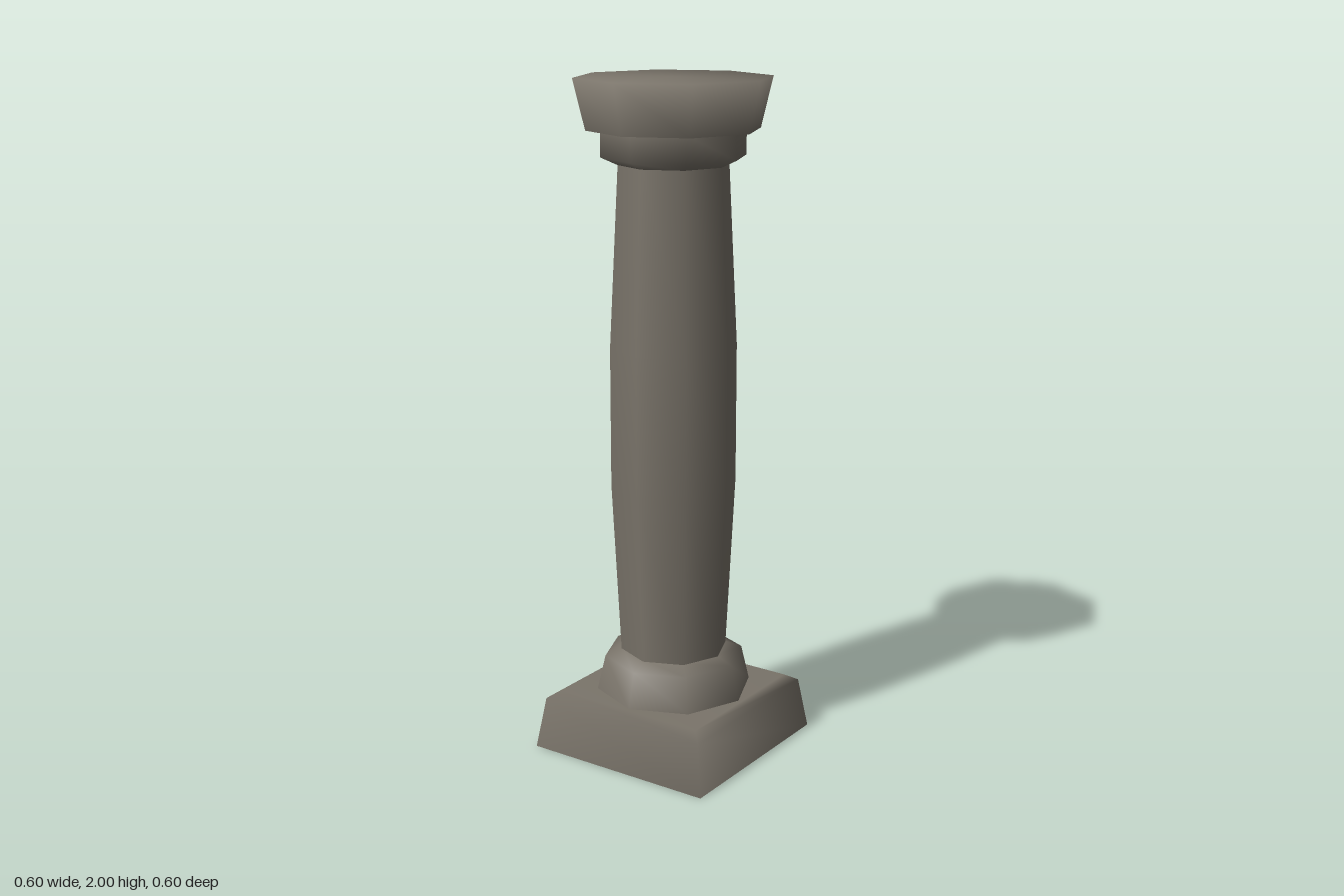
import * as THREE from 'three';

export function createModel() {
  const group = new THREE.Group();
  group.name = 'column';
  const stone = new THREE.MeshStandardMaterial({ color: 0x7a746a, side: THREE.DoubleSide });
  stone.name = 'stone';

  // Smooth low-poly turned part; profile is [radius, height] from bottom to top
  function turned(name, profile, sides = 8, scale = 1, start = 0) {
    const points = profile.map(([r, y]) => new THREE.Vector2(r * scale, y));
    const mesh = new THREE.Mesh(new THREE.LatheGeometry(points, sides, start), stone);
    mesh.name = name;
    group.add(mesh);
  }

  // Square plinth, open underneath, with a bevelled top (profile in half widths)
  turned('plinth', [[0.3, 0], [0.277, 0.155], [0.245, 0.175], [0, 0.175]], 4, Math.SQRT2, Math.PI / 4);

  // Octagonal foot ring
  turned('footRing', [[0.235, 0.173], [0.21, 0.28], [0.155, 0.302]]);

  // Shaft swelling in the middle
  turned('shaft', [[0.16, 0.29], [0.187, 0.82], [0.187, 1.23], [0.16, 1.77]]);

  // Neck ring under the capital
  turned('neckRing', [[0.155, 1.755], [0.21, 1.78], [0.21, 1.856]]);

  // Flared capital with its flat underside
  turned('capitalUnderside', [[0.15, 1.855], [0.251, 1.855]]);
  turned('capital', [[0.251, 1.855], [0.286, 2], [0, 2]]);

  return group;
}
